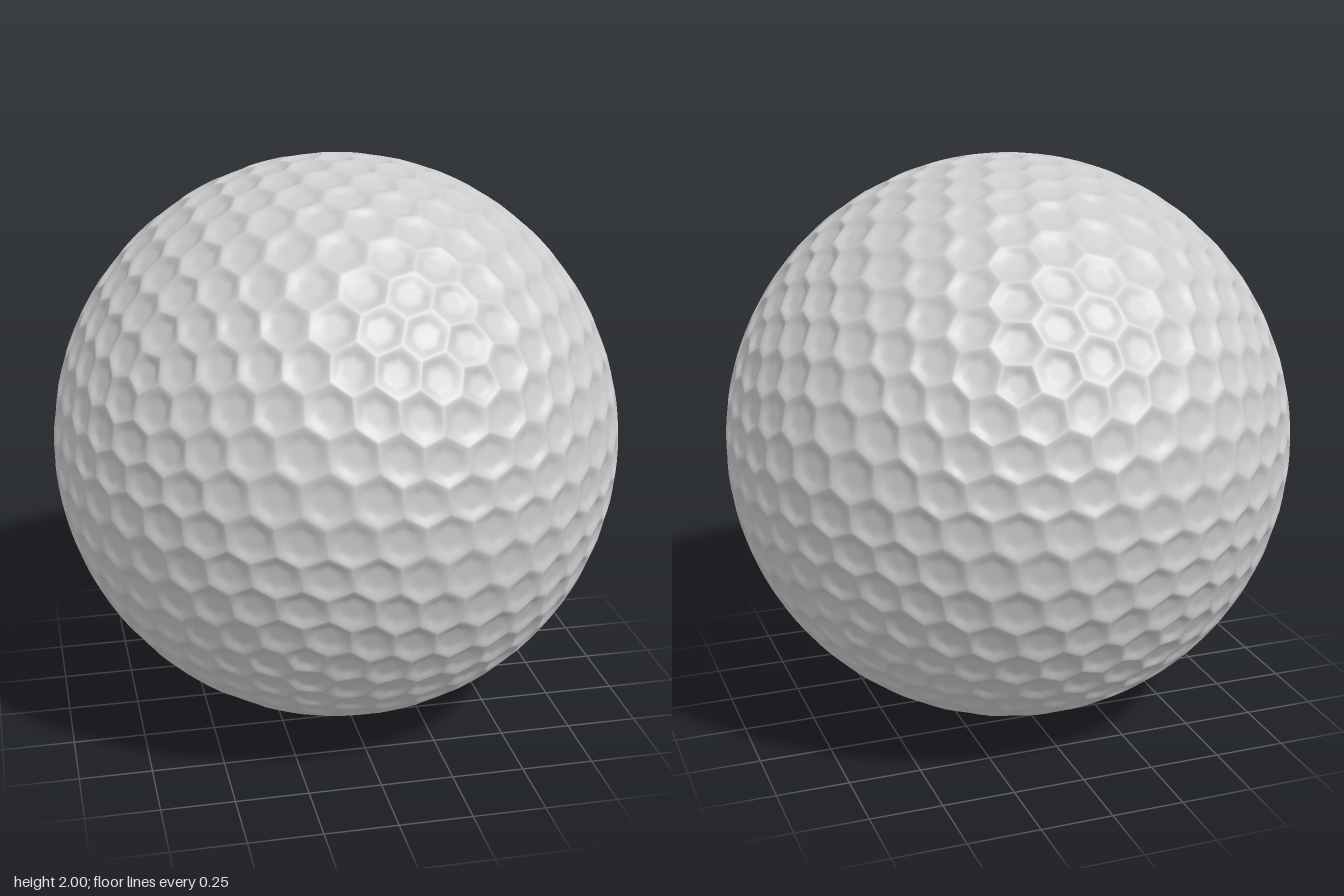
import * as THREE from 'three';
import { mergeVertices } from 'three/addons/utils/BufferGeometryUtils.js';

const DEPTH = 0.015; // dimple depth
const RINGS = [0, 0.3, 0.5, 0.62, 0.74, 0.85, 0.94, 1]; // dimple centre to ridge
const SPLIT = 2; // pieces per cell side

// Icosahedron with a corner at each pole, as corner triples
function icosahedron() {
  const ring = (y, turn) => Array.from({ length: 5 }, (_, k) => {
    const a = (k * 2 + turn) * Math.PI / 5;
    return new THREE.Vector3(Math.cos(a) * 2, y, -Math.sin(a) * 2).normalize();
  });
  const top = new THREE.Vector3(0, 1, 0), bottom = new THREE.Vector3(0, -1, 0);
  const up = ring(1, 0), low = ring(-1, 1);
  const tris = [];
  for (let k = 0; k < 5; k++) {
    const n = (k + 1) % 5;
    tris.push([top, up[k], up[n]], [up[k], low[k], up[n]],
      [low[k], low[n], up[n]], [bottom, low[n], low[k]]);
  }
  return tris;
}

// Split each triangle in four, pushed out to the sphere
function subdivide(tris) {
  const mid = (a, b) => a.clone().add(b).normalize();
  return tris.flatMap(([a, b, c]) => {
    const ab = mid(a, b), bc = mid(b, c), ca = mid(c, a);
    return [[a, ab, ca], [ab, b, bc], [ca, bc, c], [ab, bc, ca]];
  });
}

// One cell per triangle corner: its centre and the surrounding triangle middles
function dimpleCells(tris) {
  const cells = new Map();
  for (const tri of tris) {
    const middle = tri[0].clone().add(tri[1]).add(tri[2]).normalize();
    for (const p of tri) {
      const key = p.toArray().map(v => Math.round(v * 1e4)).join();
      if (!cells.has(key)) cells.set(key, { centre: p, corners: [] });
      cells.get(key).corners.push(middle);
    }
  }
  // order the corners anticlockwise as seen from outside
  for (const { centre, corners } of cells.values()) {
    const u = corners[0].clone().projectOnPlane(centre).normalize();
    const w = centre.clone().cross(u);
    const angle = p => Math.atan2(p.dot(w), p.dot(u));
    corners.sort((a, b) => angle(a) - angle(b));
  }
  return [...cells.values()];
}

// Outline, shrunk ring by ring towards the centre and sunk below the ridge
function addDimple(out, { centre, corners }) {
  const rim = [];
  corners.forEach((c, i) => {
    const next = corners[(i + 1) % corners.length];
    for (let s = 0; s < SPLIT; s++) rim.push(c.clone().lerp(next, s / SPLIT).normalize());
  });
  const mean = rim.reduce((sum, p) => sum + p.distanceTo(centre), 0) / rim.length;
  const rings = RINGS.map(t => {
    const radius = 1 - DEPTH * (1 - THREE.MathUtils.smoothstep(t, 0.4, 1.02));
    return rim.map(p => {
      // inner rings become rounder than the outline
      const round = THREE.MathUtils.lerp(mean / p.distanceTo(centre), 1, t);
      return centre.clone().lerp(p, t * round).normalize().multiplyScalar(t === 1 ? 1 : radius);
    });
  });
  for (let r = 1; r < rings.length; r++) {
    for (let i = 0; i < rim.length; i++) {
      const j = (i + 1) % rim.length;
      const a = rings[r - 1][i], b = rings[r][i], c = rings[r][j], d = rings[r - 1][j];
      const corners3 = r === 1 ? [a, b, c] : [a, b, c, a, c, d];
      for (const p of corners3) out.push(p.x, p.y, p.z);
    }
  }
}

export function createModel() {
  let tris = icosahedron();
  for (let i = 0; i < 3; i++) tris = subdivide(tris);

  const positions = [];
  for (const cell of dimpleCells(tris)) addDimple(positions, cell);

  let geometry = new THREE.BufferGeometry();
  geometry.setAttribute('position', new THREE.Float32BufferAttribute(positions, 3));
  geometry = mergeVertices(geometry, 1e-4);
  geometry.computeVertexNormals();

  const ball = new THREE.Mesh(geometry, new THREE.MeshStandardMaterial({ color: 0xcccccc }));
  ball.name = 'dimpledBall';
  ball.position.y = 1;

  const group = new THREE.Group();
  group.name = 'golfBall';
  group.add(ball);
  return group;
}
